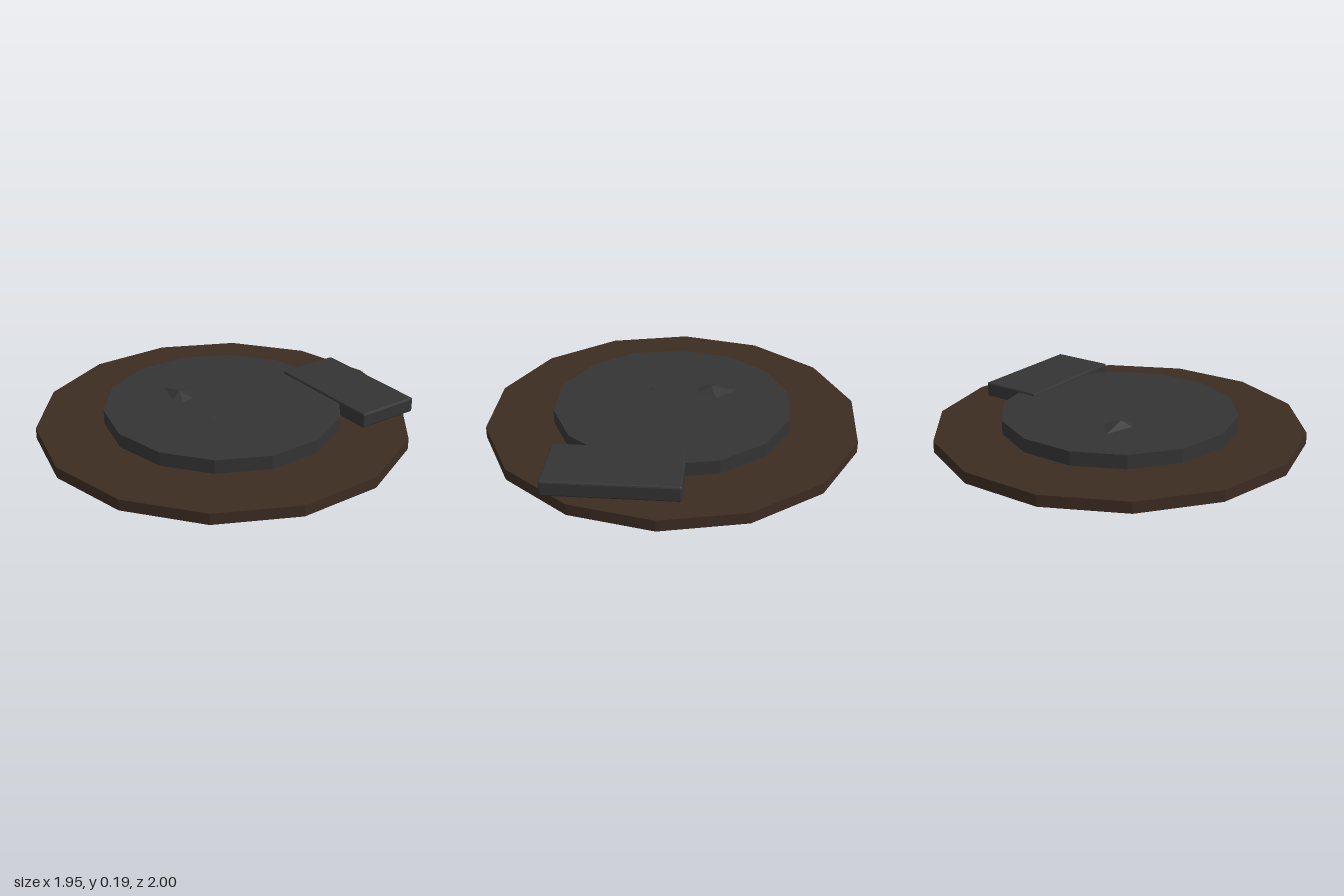
import * as THREE from 'three';
import { RoundedBoxGeometry } from 'three/addons/geometries/RoundedBoxGeometry.js';
import { ConvexGeometry } from 'three/addons/geometries/ConvexGeometry.js';

const material = (name, color, flatShading = true) => {
  const m = new THREE.MeshStandardMaterial({ color, flatShading });
  m.name = name;
  return m;
};

export function createModel() {
  const wood = material('dark wood', 0x3c2c22);
  const charcoal = material('charcoal', 0x343434);
  const slate = material('dark slate', 0x2b3036);

  const model = new THREE.Group();
  model.name = 'roundPlatform';
  const add = (name, geometry, mat, x = 0, y = 0, z = 0) => {
    const mesh = new THREE.Mesh(geometry, mat);
    mesh.name = name;
    mesh.position.set(x, y, z);
    model.add(mesh);
  };

  // Fourteen-sided disc between two heights
  const disc = (name, radius, bottom, top, mat) =>
    add(name, new THREE.CylinderGeometry(radius, radius, top - bottom, 14), mat, 0, (bottom + top) / 2, 0);

  disc('base', 1, 0.03, 0.09, wood);
  disc('plate', 0.64, 0.09, 0.165, charcoal);
  disc('hub', 0.14, 0.027, 0.06, slate);

  // Bevelled slab overlapping the back rim
  add('slab', new RoundedBoxGeometry(0.68, 0.083, 0.355, 1, 0.01), charcoal, 0.23, 0.1375, -0.677);

  // Faceted stones sunk through the discs, poking out above and below
  const stone = (name, x, z, points) =>
    add(name, new ConvexGeometry(points.map(p => new THREE.Vector3(...p))), charcoal, x, 0, z);

  stone('largeStone', -0.2, 0.15, [
    [0, 0.195, 0], [-0.14, 0.164, 0.01], [-0.03, 0.163, -0.095], [0.075, 0.164, -0.045],
    [0.075, 0.163, 0.025], [0.02, 0.164, 0.06], [-0.1, 0.1, 0], [0.07, 0.1, 0],
    [-0.03, 0.028, -0.02], [0.03, 0.028, -0.01], [0, 0.028, 0.03], [0, 0.023, 0],
  ]);
  stone('smallStone', 0.12, 0.14, [
    [0, 0.173, 0], [-0.03, 0.163, -0.03], [0.03, 0.163, 0], [-0.01, 0.163, 0.035],
    [-0.08, 0.035, 0.01], [-0.02, 0.035, -0.08], [0.08, 0.035, -0.03],
    [0.04, 0.035, 0.07], [0, 0, 0],
  ]);

  return model;
}
